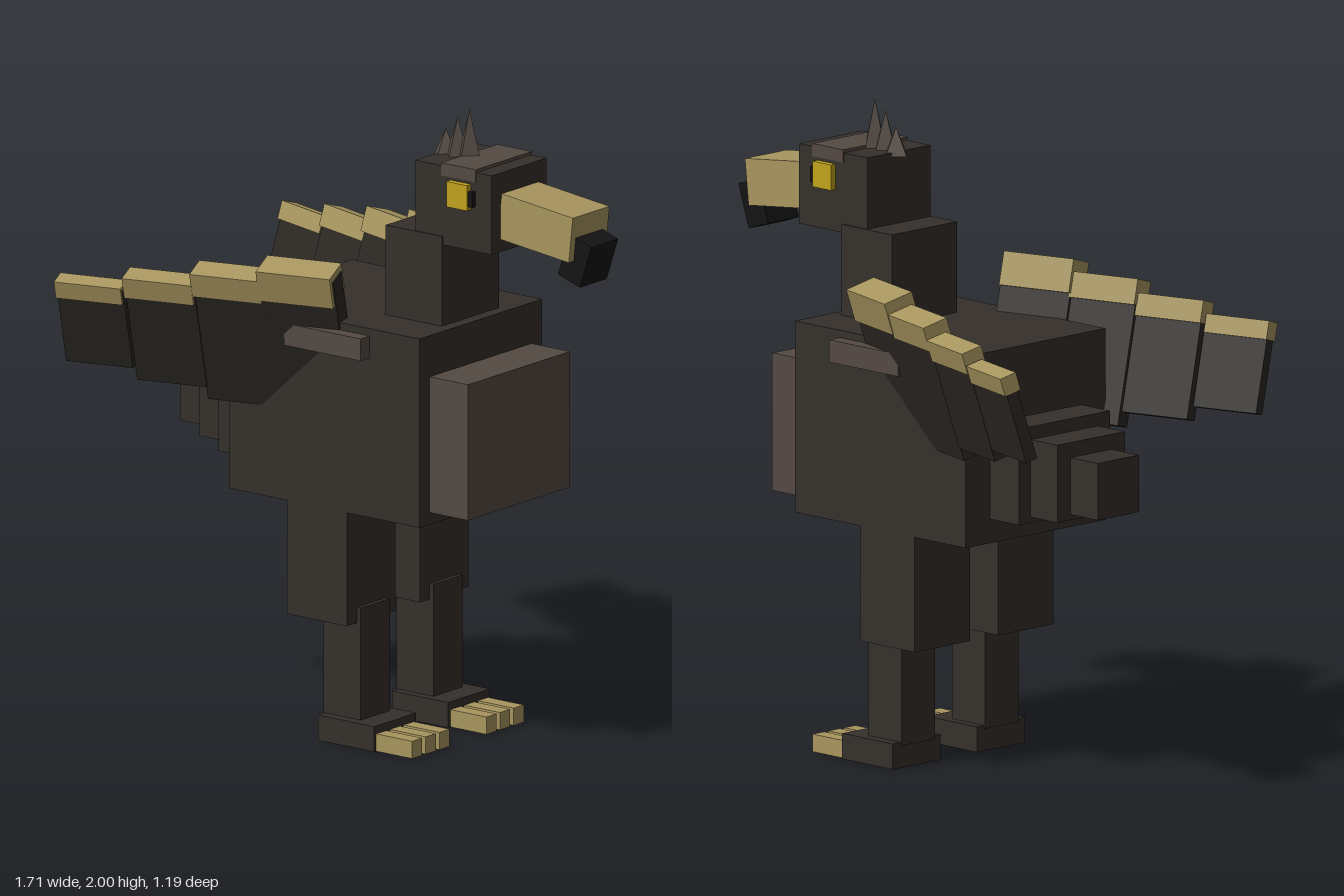
import * as THREE from 'three';

const mat = (color) => new THREE.MeshStandardMaterial({ color, flatShading: true });
const dark = mat(0x35302b);
const feather = mat(0x2b2723);
const brown = mat(0x544a43);
const horn = mat(0xa8965f);
const gold = mat(0xc2a21c);
const black = mat(0x141414);

// Box given by its extents on each axis
function box(parent, name, [x0, x1], [y0, y1], [z0, z1], material) {
  const mesh = new THREE.Mesh(new THREE.BoxGeometry(x1 - x0, y1 - y0, z1 - z0), material);
  mesh.position.set((x0 + x1) / 2, (y0 + y1) / 2, (z0 + z1) / 2);
  mesh.name = name;
  parent.add(mesh);
  return mesh;
}

// Extent on z, moved to the chosen side
const onSide = (s, a, b) => (s > 0 ? [a, b] : [-b, -a]);

function createLeg(s) {
  const leg = new THREE.Group();
  leg.name = 'leg';
  box(leg, 'thigh', [-0.15, 0.085], [0.385, 0.76], onSide(s, 0.06, 0.298), dark);
  box(leg, 'shin', [-0.045, 0.1], [0.07, 0.435], onSide(s, 0.107, 0.25), dark);
  box(leg, 'foot', [-0.04, 0.18], [0, 0.08], onSide(s, 0.078, 0.284), dark);
  for (let i = 0; i < 3; i++) {
    const z = 0.115 + i * 0.067;
    box(leg, 'toe', [0.17, 0.32], [0, 0.055], onSide(s, z - 0.025, z + 0.025), horn);
  }
  return leg;
}

function createWing(s) {
  const wing = new THREE.Group();
  wing.name = 'wing';
  const roll = 0.295;
  // Centre x, y, z; length; bar width and height; panel bottom and thickness
  const segments = [
    [-0.061, 1.46, 0.344, 0.245, 0.1, 0.105, 1.02, 0.07],
    [-0.285, 1.435, 0.406, 0.23, 0.085, 0.08, 1.04, 0.06],
    [-0.505, 1.398, 0.467, 0.23, 0.07, 0.07, 1.08, 0.05],
    [-0.73, 1.365, 0.53, 0.22, 0.056, 0.058, 1.118, 0.04],
  ];
  for (const [x, y, z, len, w, h, bottom, thick] of segments) {
    const segment = new THREE.Group();
    segment.name = 'wingSegment';
    segment.position.set(x, y, z * s);
    segment.rotation.set(roll * s, 0.28 * s, 0, 'YXZ');
    box(segment, 'wingBar', [-len / 2, len / 2], [-h / 2, h / 2], [-w / 2, w / 2], horn);
    const drop = (y - bottom) / Math.cos(roll);
    box(segment, 'featherPanel', [-len / 2 + 0.003, len / 2 + 0.004],
      [-drop, h * 0.3], [-thick / 2, thick / 2], feather);
    wing.add(segment);
  }
  return wing;
}

function createHead() {
  const head = new THREE.Group();
  head.name = 'head';
  box(head, 'skull', [0.222, 0.52], [1.6, 1.85], [-0.135, 0.135], dark);
  box(head, 'brow', [0.325, 0.46], [1.82, 1.86], [-0.138, 0.138], brown);
  for (const s of [1, -1]) {
    box(head, 'eye', [0.36, 0.44], [1.73, 1.81], onSide(s, 0.12, 0.156), gold);
    box(head, 'pupil', [0.437, 0.457], [1.742, 1.79], onSide(s, 0.12, 0.151), black);
  }
  // Drooping beak with a hooked tip
  const beak = box(head, 'beak', [0.515, 0.795], [1.625, 1.77], [-0.09, 0.09], horn);
  beak.rotation.z = -0.11;
  const tip = box(head, 'beakTip', [0.745, 0.835], [1.541, 1.683], [-0.066, 0.066], black);
  tip.rotation.z = -0.325;
  // Crest of four-sided spikes, tallest in front
  [[0.234, 1.925], [0.28, 1.97], [0.326, 2.0]].forEach(([x, top]) => {
    const height = top - 1.838;
    const spike = new THREE.Mesh(new THREE.ConeGeometry(0.046, height, 4), brown);
    spike.position.set(x, 1.838 + height / 2, 0);
    spike.name = 'crestSpike';
    head.add(spike);
  });
  return head;
}

export function createModel() {
  const bird = new THREE.Group();
  bird.name = 'bird';

  // Torso
  box(bird, 'body', [-0.375, 0.37], [0.745, 1.343], [-0.3, 0.3], dark);
  box(bird, 'belly', [-0.32, 0.32], [0.736, 0.8], [-0.25, 0.25], feather);
  box(bird, 'chest', [0.36, 0.52], [0.783, 1.213], [-0.25, 0.25], brown);
  box(bird, 'neck', [0.11, 0.33], [1.33, 1.627], [-0.14, 0.14], dark);

  // Tail stepping down towards the back
  box(bird, 'tailBase', [-0.5, -0.36], [0.82, 1.12], [-0.195, 0.195], dark);
  box(bird, 'tailMiddle', [-0.617, -0.49], [0.838, 1.08], [-0.145, 0.145], dark);
  box(bird, 'tailEnd', [-0.736, -0.6], [0.855, 1.033], [-0.088, 0.088], dark);

  // Paired parts
  for (const s of [1, -1]) {
    box(bird, 'shoulder', [-0.125, 0.175], [1.25, 1.32], onSide(s, 0.28, 0.345), brown);
    bird.add(createLeg(s), createWing(s));
  }

  bird.add(createHead());
  return bird;
}
